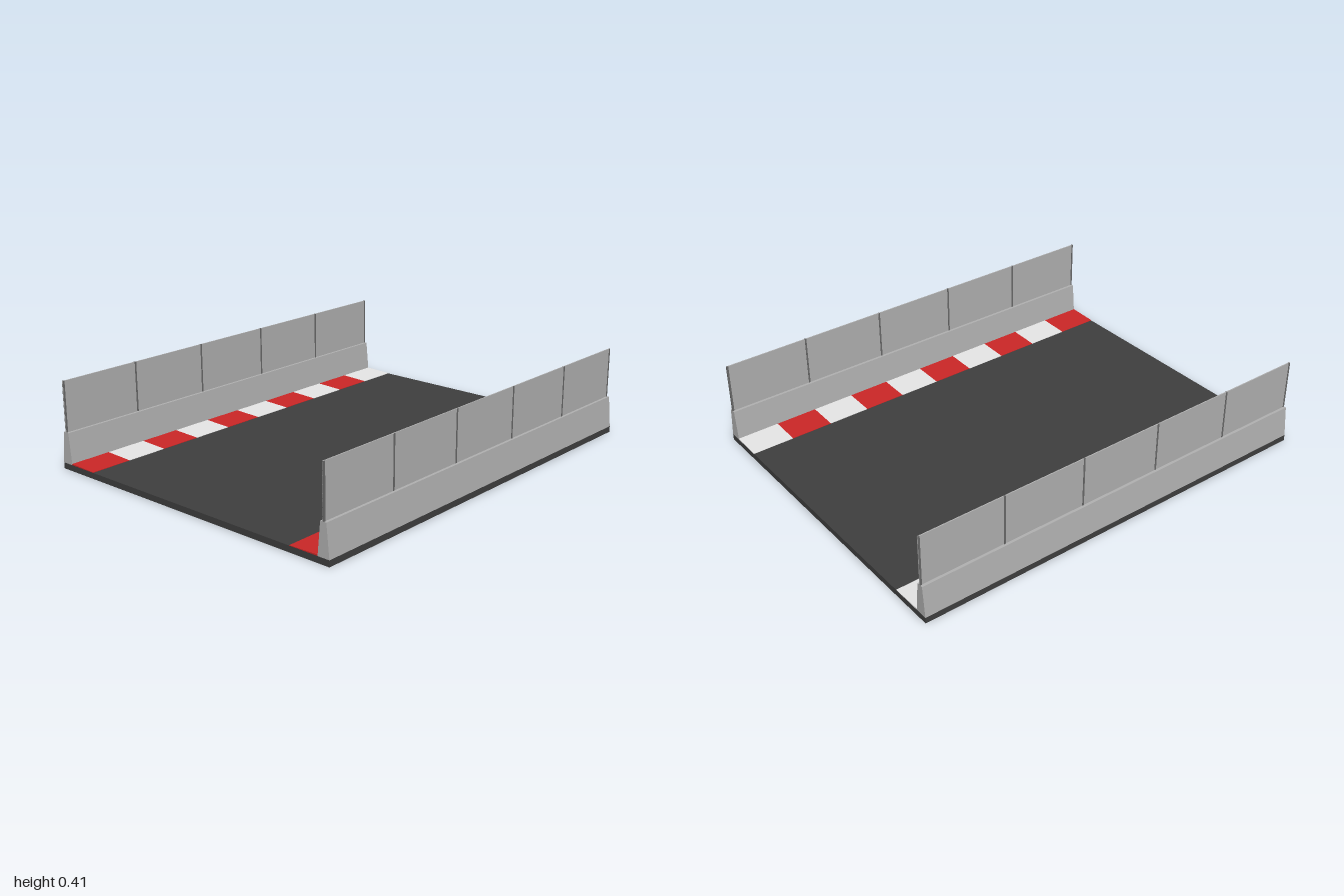
import * as THREE from 'three';

const mat = (name, color) => {
  const m = new THREE.MeshStandardMaterial({ color });
  m.name = name;
  return m;
};

export function createModel() {
  const asphalt = mat('asphalt', 0x3f3f3f);
  const concrete = mat('concrete grey', 0xb2b2b2);
  const postGrey = mat('post grey', 0x6a6a6a);
  const red = mat('kerb red', 0xcc2727);
  const white = mat('kerb white', 0xeeeeee);
  const model = new THREE.Group();
  model.name = 'trackSection';

  const add = (parent, name, geometry, material, x = 0, y = 0, z = 0) => {
    const mesh = new THREE.Mesh(geometry, material);
    mesh.name = name;
    mesh.position.set(x, y, z);
    parent.add(mesh);
  };
  // Cross-section in x and y, extruded along z and centred on z = 0
  const prism = (points, length) => {
    const shape = new THREE.Shape(points.map(([x, y]) => new THREE.Vector2(x, y)));
    return new THREE.ExtrudeGeometry(shape, { depth: length, bevelEnabled: false })
      .translate(0, 0, -length / 2);
  };

  // Road slab
  const deck = 0.028;
  add(model, 'road', new THREE.BoxGeometry(1.556, deck, 2), asphalt, 0, deck / 2, 0);

  for (const side of [1, -1]) {
    const edge = new THREE.Group();
    edge.name = side > 0 ? 'leftEdge' : 'rightEdge';
    model.add(edge);

    // Tapered concrete barrier
    const barrier = prism([[-0.029, deck], [0.029, deck], [0.015, 0.172], [-0.015, 0.172]], 2);
    add(edge, 'barrier', barrier, concrete, side * 0.749);

    // Thin fence panel with evenly spaced posts
    add(edge, 'fencePanel', new THREE.BoxGeometry(0.005, 0.233, 2), concrete, side * 0.749, 0.2885, 0);
    for (let i = 0; i < 6; i++) {
      const z = THREE.MathUtils.clamp(-1 + i * 0.4, -0.996, 0.996);
      add(edge, 'fencePost', new THREE.BoxGeometry(0.008, 0.233, 0.008), postGrey, side * 0.749, 0.2885, z);
    }

    // Sloping kerb in alternating blocks, rising toward the barrier
    const section = [[0.578, deck], [0.722, deck], [0.722, 0.034], [0.578, 0.03]]
      .map(([x, y]) => [side * x, y]);
    for (let i = 0; i < 10; i++) {
      add(edge, 'kerbBlock', prism(section, 0.2), i % 2 ? red : white, 0, 0, -0.9 + i * 0.2);
    }
  }
  return model;
}
